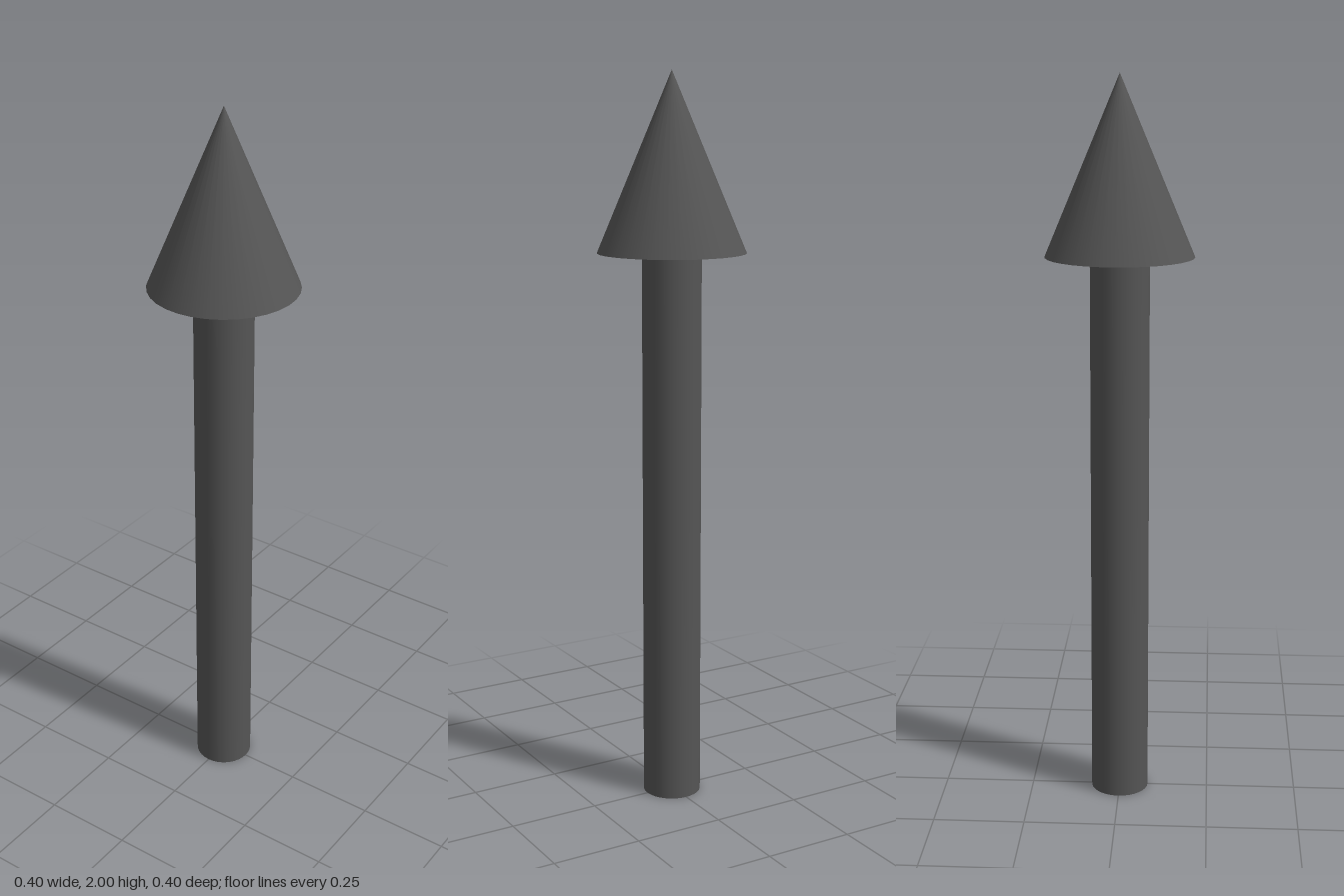
import * as THREE from 'three';

export function createModel() {
  const group = new THREE.Group();
  group.name = 'arrow';
  const material = new THREE.MeshStandardMaterial({ color: 0x555555 });
  const sides = 32;
  const headBase = 1.525;
  const headHeight = 2 - headBase;

  const add = (name, geometry, y) => {
    const mesh = new THREE.Mesh(geometry, material);
    mesh.name = name;
    mesh.position.y = y;
    group.add(mesh);
  };

  // Round shaft standing on the ground
  add('shaft', new THREE.CylinderGeometry(0.08, 0.08, headBase, sides), headBase / 2);

  // Pointed head, closed underneath
  add('arrowHead', new THREE.ConeGeometry(0.2, headHeight, sides), headBase + headHeight / 2);

  return group;
}
